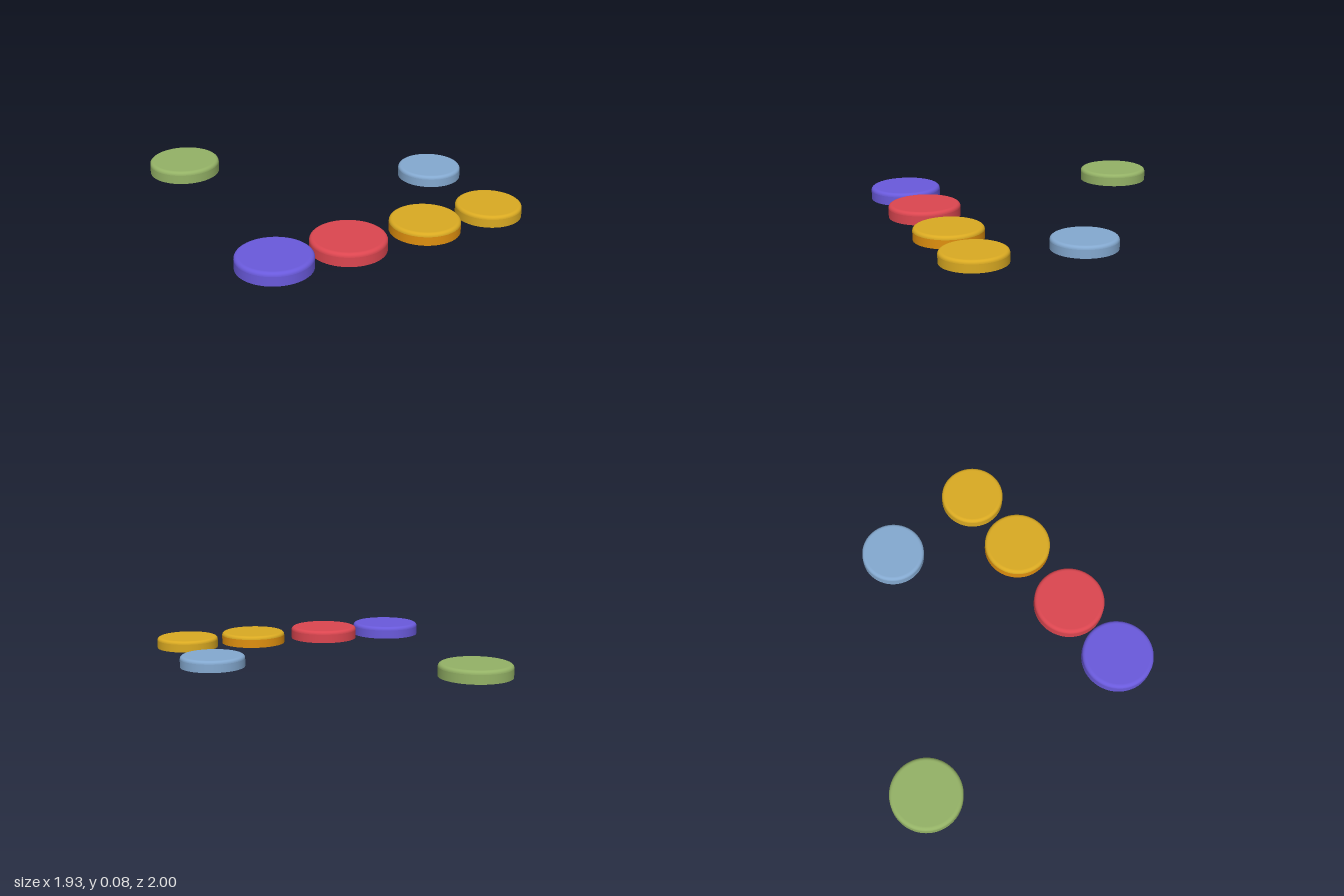
import * as THREE from 'three';

const mat = (name, color) => new THREE.MeshStandardMaterial({ name, color, side: THREE.DoubleSide });

// One hollow cap, open at the bottom: straight wall, then a rounded rim running into a flat top
function makeCap(name, r, wallMat, topMat) {
  const cap = new THREE.Group();
  cap.name = name;
  const h = r * 0.355, f = r * 0.1;
  const lathe = (part, points, material) => {
    const mesh = new THREE.Mesh(new THREE.LatheGeometry(points, 64), material);
    mesh.name = part;
    cap.add(mesh);
  };

  lathe('wall', [new THREE.Vector2(r, 0), new THREE.Vector2(r, h - f)], wallMat);

  const top = [];
  for (let i = 0; i <= 6; i++) {
    const a = (i / 6) * Math.PI / 2;
    top.push(new THREE.Vector2(r - f + f * Math.cos(a), h - f + f * Math.sin(a)));
  }
  top.push(new THREE.Vector2(r - f * 1.1, h), new THREE.Vector2(0, h));
  lathe('top', top, topMat);
  return cap;
}

export function createModel() {
  const model = new THREE.Group();
  model.name = 'caps';
  const purple = mat('purple', 0x6a5adc);
  const red = mat('red', 0xdc4650);
  const orange = mat('orange', 0xe0900f);
  const yellow = mat('yellow', 0xdaaa22);
  const blue = mat('blue', 0x84a9d0);
  const green = mat('green', 0x94b266);

  // name, x, z, radius, wall, top
  const caps = [
    ['purpleCap', -0.733, 0.767, 0.232, purple, purple],
    ['redCap', -0.251, 0.767, 0.232, red, red],
    ['orangeCap', 0.28, 0.764, 0.219, orange, yellow],
    ['yellowCap', 0.754, 0.757, 0.207, yellow, yellow],
    ['blueCap', 0.754, 0.073, 0.207, blue, blue],
    ['greenCap', -0.677, -0.768, 0.232, green, green],
  ];
  for (const [name, x, z, r, wall, top] of caps) {
    const cap = makeCap(name, r, wall, top);
    cap.position.set(x, 0, z);
    model.add(cap);
  }
  return model;
}
